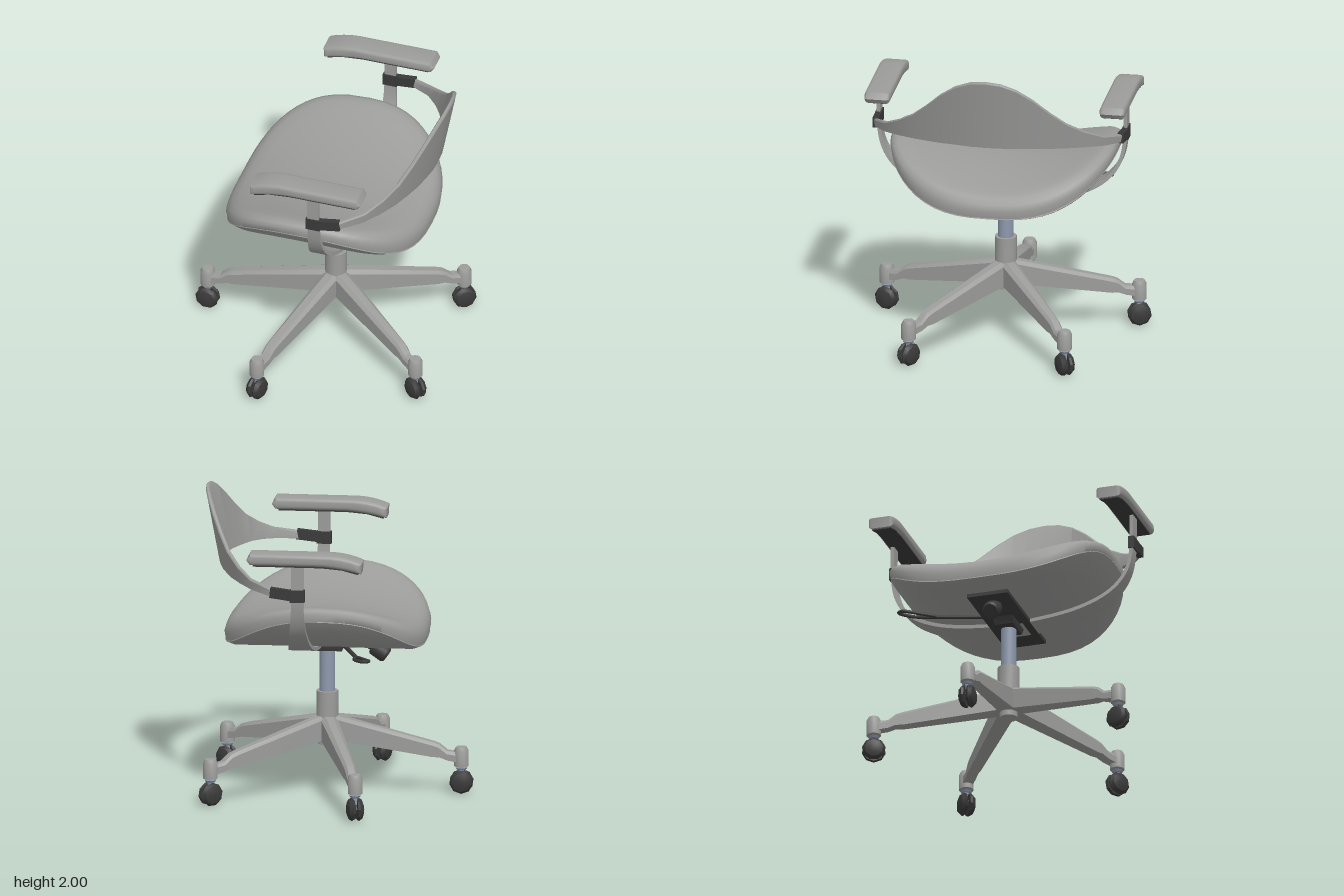
import * as THREE from 'three';
import { toCreasedNormals } from 'three/addons/utils/BufferGeometryUtils.js';

const mat = (name, color) => {
  const m = new THREE.MeshStandardMaterial({ color });
  m.name = name;
  return m;
};

// Skins a list of closed cross-sections (each an array of [x, y, z]) and caps both ends.
function loft(sections, crease = 0.7) {
  const n = sections.length, m = sections[0].length, pts = sections.flat(), tris = [];
  for (let i = 0; i < n - 1; i++) {
    for (let j = 0; j < m; j++) {
      const a = i * m + j, b = i * m + (j + 1) % m;
      tris.push([a, b, b + m], [a, b + m, a + m]);
    }
  }
  const e = (n - 1) * m;
  for (let j = 1; j < m - 1; j++) tris.push([0, j + 1, j], [e, e + j, e + j + 1]);
  // Turn the faces outward, whichever way the sections run
  const v = pts.map(p => new THREE.Vector3(...p));
  let volume = 0;
  for (const [a, b, c] of tris) volume += v[a].dot(v[b].clone().cross(v[c]));
  const index = tris.flatMap(([a, b, c]) => (volume < 0 ? [a, c, b] : [a, b, c]));
  const g = new THREE.BufferGeometry();
  g.setAttribute('position', new THREE.Float32BufferAttribute(pts.flat(), 3));
  g.setIndex(index);
  return toCreasedNormals(g, crease);
}

export function createModel() {
  const chair = new THREE.Group();
  chair.name = 'officeChair';
  const grey = mat('warm grey', 0x9c9c9b);
  const steel = mat('blue steel', 0x8d99ad);
  const dark = mat('dark plastic', 0x3a3a3a);
  const X = 0.08; // column axis

  function add(parent, name, geo, material, x = 0, y = 0, z = 0) {
    const mesh = new THREE.Mesh(geo, material);
    mesh.name = name;
    mesh.position.set(x, y, z);
    parent.add(mesh);
    return mesh;
  }
  const cyl = (r1, r2, h, s = 24) => toCreasedNormals(new THREE.CylinderGeometry(r1, r2, h, s), 0.6);
  const lathe = (pts, s) =>
    toCreasedNormals(new THREE.LatheGeometry(pts.map(p => new THREE.Vector2(...p)), s), 0.6);

  // Column
  add(chair, 'hub', cyl(0.07, 0.07, 0.17), grey, X, 0.575);
  add(chair, 'hubBottom', cyl(0.058, 0.058, 0.19), grey, X, 0.405);
  add(chair, 'gasColumn', cyl(0.05, 0.05, 0.3), steel, X, 0.8);

  // Five legs with casters: [radius, bottom, top, half width at bottom, half width at top]
  const legStations = [
    [0.02, 0.345, 0.5, 0.055, 0.025], [0.06, 0.345, 0.5, 0.055, 0.025],
    [0.68, 0.245, 0.34, 0.038, 0.022], [0.72, 0.245, 0.325, 0.036, 0.022],
    [0.77, 0.225, 0.285, 0.034, 0.022], [0.85, 0.21, 0.275, 0.034, 0.022],
  ];
  const legGeo = loft(legStations.map(([r, b, t, wb, wt]) => [
    [r, b, -wb], [r, b, wb], [r, t - 0.02, wb], [r, t, wt], [r, t, -wt], [r, t - 0.02, -wb],
  ]), 0.4);
  const socketGeo = lathe([[0, 0.185], [0.047, 0.185], [0.047, 0.285], [0.035, 0.31], [0, 0.312]], 16);
  const wheelGeo = lathe([[0, -0.02], [0.07, -0.02], [0.077, -0.006], [0.06, 0.016], [0.03, 0.026], [0, 0.026]], 9);
  for (let i = 0; i < 5; i++) {
    const leg = new THREE.Group();
    leg.name = 'leg';
    leg.position.x = X;
    leg.rotation.y = Math.PI + i * Math.PI * 0.4;
    chair.add(leg);
    add(leg, 'legBeam', legGeo, grey);
    add(leg, 'casterSocket', socketGeo, grey, 0.86);
    add(leg, 'casterStem', cyl(0.018, 0.018, 0.1, 12), steel, 0.86, 0.15);
    add(leg, 'casterCollar', cyl(0.038, 0.03, 0.014, 12), steel, 0.86, 0.168);
    add(leg, 'casterAxle', cyl(0.035, 0.035, 0.03, 8), dark, 0.86, 0.085).rotation.x = Math.PI / 2;
    for (const s of [1, -1]) {
      add(leg, 'casterWheel', wheelGeo, dark, 0.86, 0.082, s * 0.028).rotation.x = s * Math.PI / 2;
    }
  }

  // Tilt mechanism under the seat
  add(chair, 'seatPlate', new THREE.BoxGeometry(0.81, 0.03, 0.27), dark, 0.035, 0.992);
  const ring = (y, x0, x1, z) => [[x0, y, -z], [x1, y, -z], [x1, y, z], [x0, y, z]];
  add(chair, 'mechanism', loft([
    ring(0.93, -0.02, 0.17, 0.06), ring(0.955, -0.03, 0.18, 0.065), ring(0.99, -0.05, 0.2, 0.065),
  ], 0.3), dark);
  const knob = new THREE.Group();
  knob.name = 'tensionKnob';
  knob.position.set(-0.255, 0.93, 0);
  knob.rotation.z = -0.95;
  chair.add(knob);
  add(knob, 'knobGrip', lathe([[0, -0.06], [0.045, -0.06], [0.056, -0.045], [0.056, 0.04], [0.045, 0.05], [0, 0.05]], 12), dark);
  add(knob, 'knobShaft', cyl(0.035, 0.035, 0.14, 12), dark, 0, 0.1);

  // Height lever with a loop handle
  const curve = (pts, closed) =>
    new THREE.CatmullRomCurve3(pts.map(p => new THREE.Vector3(...p)), closed);
  add(chair, 'lever', new THREE.TubeGeometry(
    curve([[-0.03, 0.99, -0.1], [-0.09, 0.982, -0.25], [-0.15, 0.98, -0.42]]), 12, 0.014, 8), dark);
  add(chair, 'leverLoop', new THREE.TubeGeometry(curve([
    [-0.15, 0.98, -0.41], [-0.215, 0.992, -0.52], [-0.25, 1.002, -0.6],
    [-0.22, 1.007, -0.64], [-0.17, 1.002, -0.59], [-0.145, 0.99, -0.5]], true), 36, 0.011, 8, true), dark);

  // Saddle-shaped seat: sides sweep up, front and back roll down
  const SEG = 56;
  const seatRing = (t, height) => Array.from({ length: SEG }, (_, i) => {
    const a = (i / SEG) * Math.PI * 2, c = Math.cos(a), s = Math.sin(a);
    const k = c < 0 ? 2 / 2.9 : 2 / 2.4;
    const u = t * Math.sign(c) * Math.abs(c) ** k;
    const w = t * Math.sign(s) * Math.abs(s) ** k;
    return [X + 0.65 * u, height(u, w), 0.73 * w];
  });
  const topY = (u, w) => 1.24 + 0.15 * w * w - 0.1 * u * u;
  const bottomY = (u, w) => 1.0 + 0.26 * Math.abs(w) ** 3;
  const rimY = (u, w) => 1.015 + 0.27 * Math.abs(w) ** 3;
  const blend = f => (u, w) => rimY(u, w) * (1 - f) + topY(u, w) * f;
  const cushion = [0.01, 0.2, 0.4, 0.6, 0.78, 0.88].map(t => seatRing(t, topY));
  cushion.push(seatRing(0.94, blend(0.92)), seatRing(0.98, blend(0.72)), seatRing(1, blend(0.4)), seatRing(0.985, rimY));
  add(chair, 'seatCushion', loft(cushion, 1.0), grey);
  const shell = [seatRing(0.985, (u, w) => rimY(u, w) + 0.012), seatRing(0.99, rimY)];
  for (const t of [0.93, 0.8, 0.6, 0.4, 0.2, 0.01]) shell.push(seatRing(t, bottomY));
  add(chair, 'seatShell', loft(shell, 0.8), grey);

  // Arm strap, one band running under the seat from arm to arm
  const strapHalf = [[0.8, 1.67], [0.8, 1.5], [0.795, 1.4], [0.775, 1.3], [0.73, 1.21], [0.65, 1.13],
    [0.54, 1.07], [0.4, 1.025], [0.2, 0.995]];
  const strapPath = curve([
    ...strapHalf.map(([z, y]) => [0, y, z]), [0, 0.988, 0],
    ...strapHalf.slice().reverse().map(([z, y]) => [0, y, -z])]);
  const strapSections = [];
  for (let i = 0; i <= 60; i++) {
    const p = strapPath.getPoint(i / 60), d = strapPath.getTangent(i / 60);
    const ny = -d.z * 0.012, nz = d.y * 0.012;
    const f = THREE.MathUtils.clamp((1.45 - p.y) / 0.45, 0, 1);
    const h = 0.038 + 0.055 * f ** 2, x = 0.187 + 0.008 * f;
    strapSections.push([
      [x - h, p.y + ny, p.z + nz], [x + h, p.y + ny, p.z + nz],
      [x + h, p.y - ny, p.z - nz], [x - h, p.y - ny, p.z - nz]]);
  }
  add(chair, 'armStrap', loft(strapSections, 0.6), grey);

  // Armrest pad with drooping front
  const pad = new THREE.Shape();
  pad.moveTo(-0.225, 1.625);
  pad.lineTo(-0.23, 1.695);
  pad.quadraticCurveTo(-0.14, 1.735, -0.03, 1.74);
  pad.lineTo(0.49, 1.74);
  pad.lineTo(0.512, 1.7);
  pad.lineTo(0.49, 1.668);
  pad.lineTo(0.03, 1.668);
  pad.quadraticCurveTo(-0.1, 1.66, -0.225, 1.625);
  const padGeo = toCreasedNormals(new THREE.ExtrudeGeometry(pad, {
    depth: 0.116, bevelThickness: 0.024, bevelSize: 0.022, bevelOffset: -0.022, bevelSegments: 3, curveSegments: 6,
  }), 0.6);
  const underLine = [[-0.205, 1.628], [-0.1, 1.655], [0.03, 1.666], [0.47, 1.666]];
  const underGeo = loft(underLine.map(([x, y]) => [
    [x, y, -0.062], [x, y, 0.062], [x, y - 0.007, 0.062], [x, y - 0.007, -0.062]]), 0.4);
  for (const s of [1, -1]) {
    add(chair, 'armrest', padGeo, grey, 0, 0, s * 0.762 - 0.058);
    add(chair, 'armrestUnderside', underGeo, dark, 0, 0, s * 0.762);
    // Clamp joining strap and backrest
    add(chair, 'clamp', new THREE.BoxGeometry(0.095, 0.08, 0.04), dark, 0.187, 1.467, s * 0.8);
    const link = add(chair, 'clampLink', new THREE.BoxGeometry(0.14, 0.066, 0.04), dark, 0.292, 1.478, s * 0.797);
    link.rotation.set(0, s * 0.06, 0.12);
  }

  // Wraparound backrest: [z, x at bottom, bottom, top]
  const half = [[0.8, 0.25, 1.448, 1.5], [0.79, 0.36, 1.458, 1.512], [0.7, 0.49, 1.48, 1.55],
    [0.6, 0.57, 1.495, 1.61], [0.5, 0.63, 1.505, 1.68], [0.4, 0.67, 1.51, 1.77], [0.3, 0.705, 1.515, 1.87],
    [0.2, 0.73, 1.52, 1.945], [0.1, 0.747, 1.52, 1.988]];
  const stations = [...half, [0, 0.752, 1.52, 2.0], ...half.slice().reverse().map(([z, ...r]) => [-z, ...r])];
  const backSections = stations.map(([z, x, b, t], i) => {
    const p = stations[Math.max(i - 1, 0)], q = stations[Math.min(i + 1, stations.length - 1)];
    const d = new THREE.Vector2(q[1] - p[1], q[0] - p[0]).normalize().multiplyScalar(0.014);
    const at = (y, s) => [x + 0.19 * (y - 1.52) - s * d.y, y, z + s * d.x];
    return [at(b, 1), at(t - 0.01, 1), at(t, 0.5), at(t, -0.5), at(t - 0.01, -1), at(b, -1)];
  });
  add(chair, 'backrest', loft(backSections, 0.6), grey);

  return chair;
}
